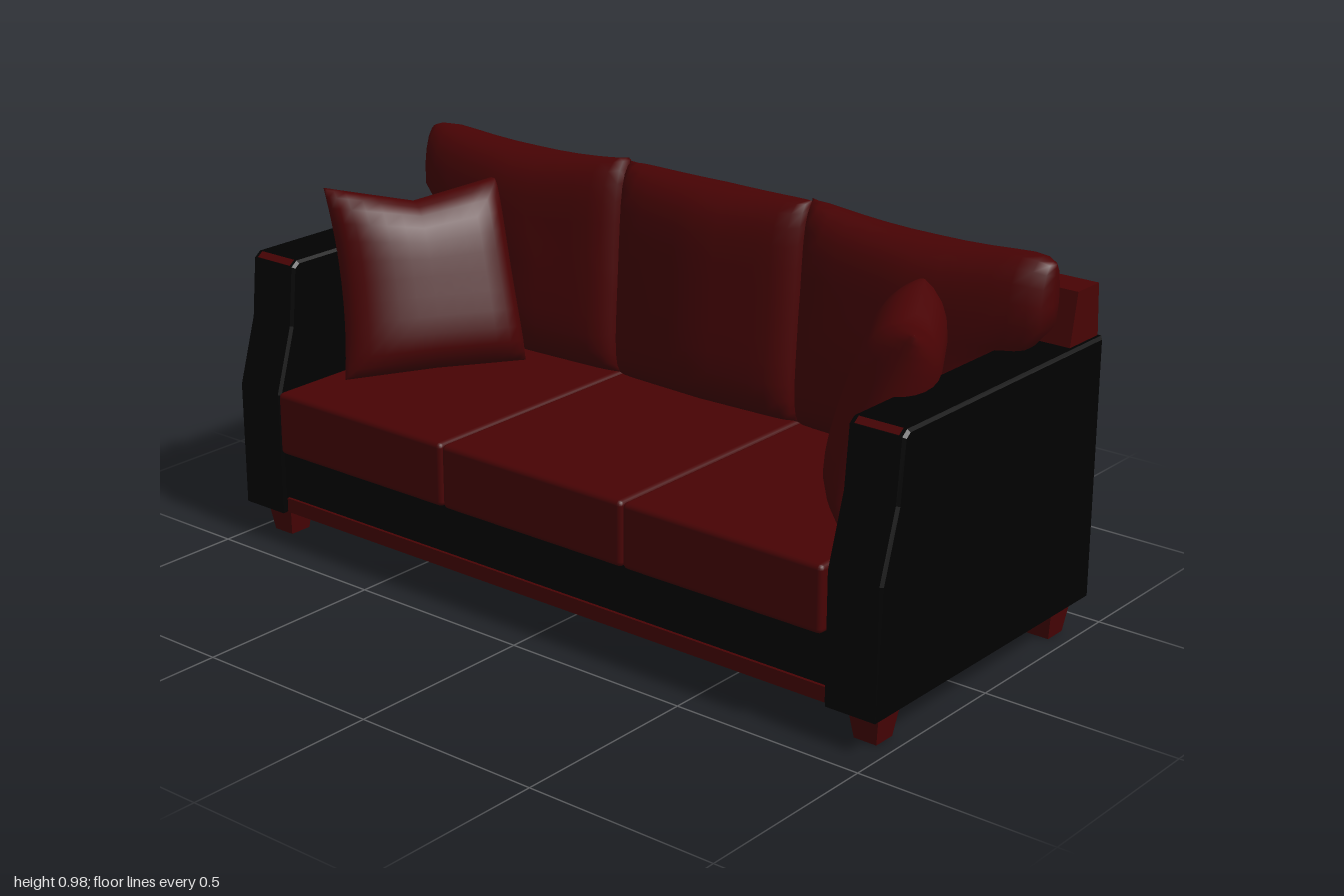
import * as THREE from 'three';
import { mergeVertices } from 'three/addons/utils/BufferGeometryUtils.js';
import { RoundedBoxGeometry } from 'three/addons/geometries/RoundedBoxGeometry.js';

const red = new THREE.MeshStandardMaterial({ color: 0x480304 });
const black = new THREE.MeshStandardMaterial({ color: 0x010101 });
const { lerp, smoothstep } = THREE.MathUtils;

function add(parent, name, geometry, material, x = 0, y = 0, z = 0) {
  const mesh = new THREE.Mesh(geometry, material);
  mesh.name = name;
  mesh.position.set(x, y, z);
  parent.add(mesh);
  return mesh;
}

// box given by its lower and upper corners
function block(parent, name, material, a, b) {
  const size = b.map((v, i) => v - a[i]);
  return add(parent, name, new THREE.BoxGeometry(...size), material, ...b.map((v, i) => (v + a[i]) / 2));
}

// stuffed shape: two grids that meet at a shared rim; place(u, v, face) returns a point, u and v in -1..1
function stuffed(place, mirrored, n = 14) {
  const pos = [], index = [];
  const spread = (i) => Math.sin((i / n - 0.5) * Math.PI);
  for (const face of [1, -1]) {
    const start = pos.length / 3;
    for (let j = 0; j <= n; j++) {
      for (let i = 0; i <= n; i++) {
        const p = place(spread(i), spread(j), face);
        pos.push(mirrored ? -p.x : p.x, p.y, p.z);
        if (i === n || j === n) continue;
        const a = start + j * (n + 1) + i, b = a + 1, c = a + n + 1, d = c + 1;
        if ((face > 0) !== mirrored) index.push(a, b, d, a, d, c);
        else index.push(a, d, b, a, c, d);
      }
    }
  }
  let geo = new THREE.BufferGeometry();
  geo.setAttribute('position', new THREE.Float32BufferAttribute(pos, 3));
  geo.setIndex(index);
  geo = mergeVertices(geo, 1e-4);
  geo.computeVertexNormals();
  return geo;
}

// 1 in the middle, 0 at the rim; a larger k gives a fuller edge
const swell = (t, k) => Math.sqrt(Math.max(0, 1 - Math.abs(t) ** k));

// extrude a (z, y) profile along x from x0 to x1
function alongX(profile, x0, x1, bevel) {
  const shape = new THREE.Shape(profile.map(([z, y]) => new THREE.Vector2(-z, y)));
  const geo = new THREE.ExtrudeGeometry(shape, {
    depth: x1 - x0 - 2 * bevel, bevelEnabled: bevel > 0, bevelSize: bevel,
    bevelThickness: bevel, bevelOffset: -bevel, bevelSegments: 1,
  });
  geo.rotateY(Math.PI / 2);
  geo.translate(x0 + bevel, 0, 0);
  return geo;
}

// back cushion; the outer ones reach over the arm in their upper part
function backCushion(outer, mirrored) {
  return stuffed((u, v, face) => {
    const t = (v + 1) / 2;
    const corner = outer && u > 0 ? 0.03 * u ** 10 : 0;
    const top = outer ? 0.955 + 0.028 * u * u - corner : 0.97 + 0.006 * u * u;
    const y = lerp(0.42, top, t);
    const reach = outer ? 0.855 + 0.112 * smoothstep(y, 0.72, 0.77) : 0.284;
    const x = lerp(outer ? 0.285 : -0.284, reach, (u + 1) / 2);
    // narrow where the cushion meets the arm top
    const nip = outer ? 0.5 * smoothstep(u, 0.6, 1) * Math.exp(-(((y - 0.75) / 0.05) ** 2)) : 0;
    const depth = (0.068 + 0.033 * (1 - Math.abs(u))) * swell(u, 16) * swell(v, 6) * (1 - nip);
    return new THREE.Vector3(x, y, -0.235 - 0.035 * t + face * depth);
  }, mirrored);
}

// throw pillow: drawn in along the top and outer edge, full along the bottom, the inner edge and the side at the arm
function throwPillow(mirrored) {
  const V = (x, y, z) => new THREE.Vector3(x, y, z);
  const bottomOut = V(-0.78, 0.425, 0.27), bottomIn = V(-0.53, 0.425, -0.14);
  const topOut = V(-0.905, 0.895, 0.2), topIn = V(-0.67, 0.885, -0.19);
  const normal = bottomIn.clone().sub(bottomOut).cross(topOut.clone().sub(bottomOut)).normalize();
  return stuffed((u, v, face) => {
    const s = (u * (1 - (u > 0 ? 0.02 : 0.08) * (1 - v * v)) + 1) / 2;
    const t = (v * (1 - (v > 0 ? 0.2 : 0.02) * (1 - Math.abs(u))) + 1) / 2;
    const low = bottomOut.clone().lerp(bottomIn, s);
    const depth = (face > 0 ? 0.092 : 0.105) * swell(u, u > 0 ? 8 : 2.5) * swell(v, v > 0 ? 3.5 : 6);
    return low.lerp(topOut.clone().lerp(topIn, s), t).addScaledVector(normal, face * depth);
  }, mirrored);
}

export function createModel() {
  const sofa = new THREE.Group();
  sofa.name = 'sofa';

  // base: thin rails around a hollow, closed by the deck under the seat
  const base = new THREE.Group();
  base.name = 'base';
  sofa.add(base);
  block(base, 'frontRail', black, [-0.86, 0.092, 0.39], [0.86, 0.26, 0.412]);
  block(base, 'frontTrim', red, [-0.86, 0.09, 0.4], [0.86, 0.128, 0.42]);
  block(base, 'backRail', black, [-0.87, 0.09, -0.435], [0.87, 0.25, -0.41]);
  block(base, 'deck', black, [-0.86, 0.245, -0.42], [0.86, 0.258, 0.4]);

  // backrest
  const backProfile = [[-0.437, 0.25], [-0.26, 0.25], [-0.315, 0.742], [-0.34, 0.875], [-0.43, 0.875], [-0.437, 0.74]];
  add(sofa, 'backrest', alongX(backProfile, -0.87, 0.87, 0), red);
  const earProfile = [[-0.438, 0.74], [-0.315, 0.74], [-0.34, 0.875], [-0.43, 0.875]];
  add(sofa, 'rightBackrestEnd', alongX(earProfile, -0.985, -0.87, 0), red);
  add(sofa, 'leftBackrestEnd', alongX(earProfile, 0.87, 0.985, 0), red);
  const patch = block(sofa, 'backrestEndPanel', black, [-0.98, 0.745, -0.4375], [-0.87, 0.87, -0.4335]);
  patch.rotation.x = 0.06;

  // arms with trim, and legs
  const armProfile = [[-0.44, 0.087], [0.43, 0.087], [0.43, 0.41], [0.378, 0.58], [0.363, 0.732], [0.345, 0.746], [-0.44, 0.746]];
  const legGeo = new THREE.CylinderGeometry(0.064, 0.043, 0.1, 4).toNonIndexed();
  legGeo.rotateY(Math.PI / 4);
  legGeo.computeVertexNormals();
  for (const side of [1, -1]) {
    const label = side > 0 ? 'left' : 'right';
    const x0 = side > 0 ? 0.853 : -1;
    add(sofa, label + 'Arm', alongX(armProfile, x0, x0 + 0.147, 0.007), black);
    const trim = add(sofa, label + 'ArmTrim', new THREE.BoxGeometry(0.115, 0.006, 0.02), red, side * 0.926, 0.738, 0.352);
    trim.rotation.x = 0.62;
    for (const z of [0.34, -0.368]) {
      add(sofa, label + (z > 0 ? 'FrontLeg' : 'BackLeg'), legGeo, red, side * 0.927, 0.05, z);
    }
  }

  // seat cushions
  [-0.567, 0, 0.567].forEach((x, i) => {
    add(sofa, 'seatCushion' + (i + 1), new RoundedBoxGeometry(0.565, 0.165, 0.7, 2, 0.013), red, x, 0.3395, 0.09);
  });

  // back cushions and throw pillows
  add(sofa, 'middleBackCushion', backCushion(false, false), red);
  add(sofa, 'leftBackCushion', backCushion(true, false), red);
  add(sofa, 'rightBackCushion', backCushion(true, true), red);
  add(sofa, 'rightThrowPillow', throwPillow(false), red);
  add(sofa, 'leftThrowPillow', throwPillow(true), red);
  return sofa;
}
